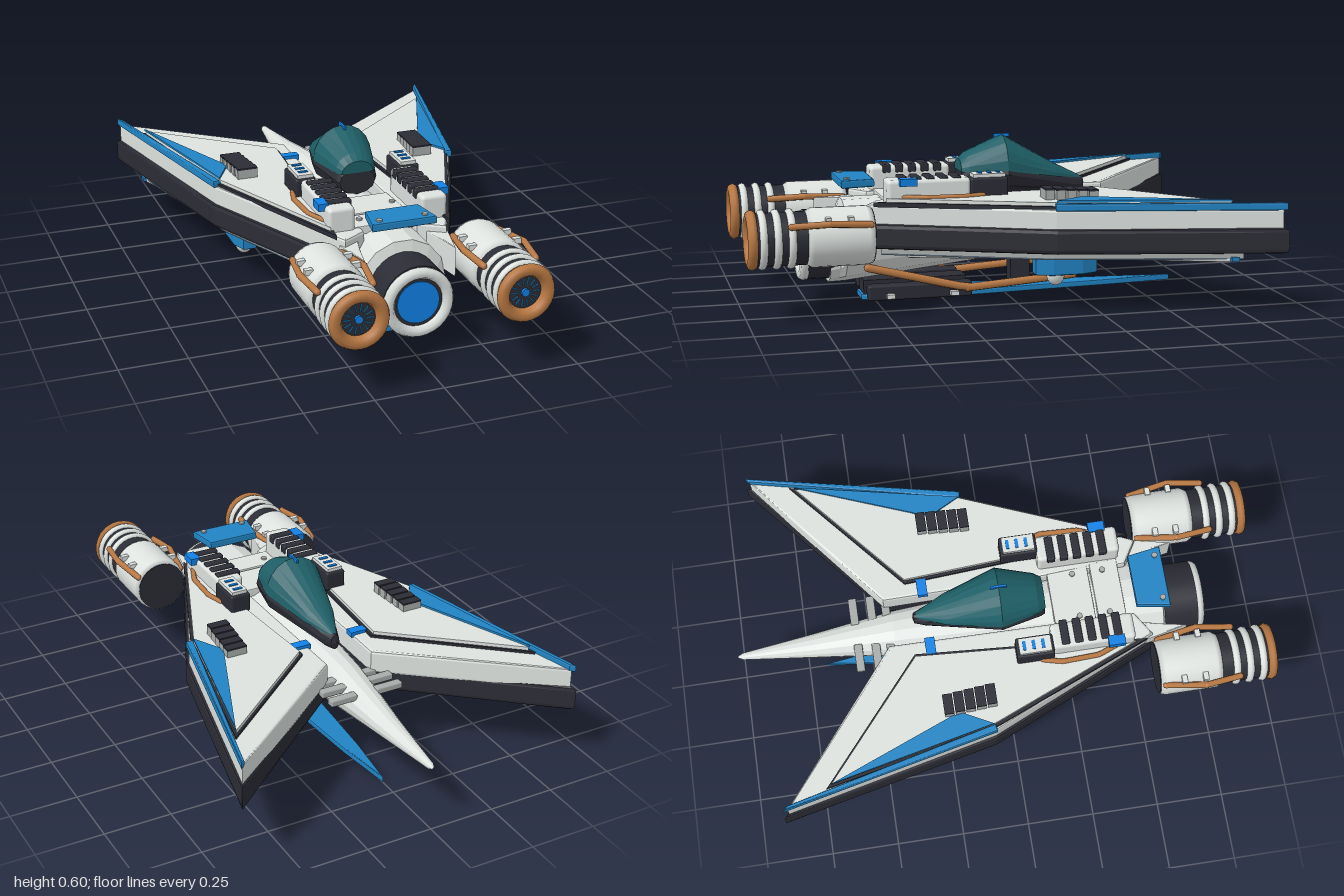
import * as THREE from 'three';
import { RoundedBoxGeometry } from 'three/addons/geometries/RoundedBoxGeometry.js';

const mat = (name, color) => Object.assign(new THREE.MeshStandardMaterial({ color }), { name });

export function createModel() {
  const root = new THREE.Group();
  root.name = 'starfighter';
  const white = mat('hull white', 0xdde2df), dark = mat('dark metal', 0x2c2c36);
  const blue = mat('paint blue', 0x2184c4), glow = mat('glow blue', 0x1082e8);
  const teal = mat('canopy teal', 0x1f6068), copper = mat('copper', 0xb87843);
  const slate = mat('slate', 0x566474), grey = mat('light grey', 0xa8adab);

  const add = (name, geo, m) => {
    const mesh = new THREE.Mesh(geo, m);
    mesh.name = name;
    root.add(mesh);
  };
  // box given by its extents
  const box = (name, m, x0, x1, y0, y1, z0, z1, r = 0) => {
    const w = Math.abs(x1 - x0), h = y1 - y0, d = z1 - z0;
    const g = r ? new RoundedBoxGeometry(w, h, d, 2, r) : new THREE.BoxGeometry(w, h, d);
    add(name, g.translate((x0 + x1) / 2, (y0 + y1) / 2, (z0 + z1) / 2), m);
  };
  // horizontal plate from an outline of [x, z] points
  const plate = (name, m, pts, y0, y1, s = 1, bevel = 0) => {
    const shape = new THREE.Shape(pts.map(([x, z]) => new THREE.Vector2(x * s, z)));
    const g = new THREE.ExtrudeGeometry(shape, {
      depth: y1 - y0 - 2 * bevel, bevelEnabled: bevel > 0, bevelSize: bevel,
      bevelThickness: bevel, bevelOffset: -bevel, bevelSegments: 2 });
    add(name, g.rotateX(Math.PI / 2).translate(0, y1 - bevel, 0), m);
  };
  // turned part along z from [radius, z] points
  const turned = (name, m, pts, x, y) => add(name,
    new THREE.LatheGeometry(pts.map(p => new THREE.Vector2(...p)), 28).rotateX(Math.PI / 2).translate(x, y, 0), m);
  const drum = (name, m, r, z0, z1, x, y) =>
    add(name, new THREE.CylinderGeometry(r, r, z1 - z0, 28).rotateX(Math.PI / 2).translate(x, y, (z0 + z1) / 2), m);
  const rivet = (x, y, z) => add('rivet', new THREE.CylinderGeometry(0.011, 0.011, 0.008, 10).translate(x, y, z), grey);
  // straight-segment pipe with rounded joints
  const pipe = (name, m, pts, r, s = 1) => {
    const path = new THREE.CurvePath(), v = pts.map(([x, y, z]) => new THREE.Vector3(x * s, y, z));
    for (let i = 1; i < v.length; i++) path.add(new THREE.LineCurve3(v[i - 1], v[i]));
    add(name, new THREE.TubeGeometry(path, 16, r, 8), m);
    for (const p of v) add(name + 'Joint', new THREE.SphereGeometry(r, 8, 6).translate(p.x, p.y, p.z), m);
  };
  // faceted loft along z from [z, half width, y bottom, y top] sections, full ellipse or upper half
  const loft = (name, m, secs, n, half = false) => {
    const pos = [], idx = [];
    for (const [z, w, b, t] of secs) for (let i = 0; i <= n; i++) {
      const a = (half ? 1 : 2) * Math.PI * i / n;
      const base = half ? b : (b + t) / 2;
      pos.push(w * Math.cos(a), base + (t - base) * Math.sin(a), z);
    }
    for (let k = 0; k < secs.length - 1; k++) for (let i = 0; i < n; i++) {
      const p = k * (n + 1) + i, q = p + n + 1;
      idx.push(p, p + 1, q, p + 1, q + 1, q);
    }
    const g = new THREE.BufferGeometry();
    g.setAttribute('position', new THREE.Float32BufferAttribute(pos, 3));
    g.setIndex(idx);
    const flat = g.toNonIndexed();
    flat.computeVertexNormals();
    add(name, flat, m);
  };

  // fuselage with a long needle nose
  loft('fuselage', white, [[-1, 0.003, 0.247, 0.253], [-0.98, 0.013, 0.237, 0.263], [-0.7, 0.047, 0.21, 0.295],
    [-0.4, 0.085, 0.18, 0.345], [0.1, 0.125, 0.128, 0.38], [0.5, 0.158, 0.085, 0.387], [0.615, 0.162, 0.073, 0.385],
    [0.635, 0.125, 0.072, 0.31], [0.67, 0.115, 0.07, 0.29], [0.67, 0.001, 0.18, 0.182]], 14);

  // main engine
  drum('mainEngineDrum', dark, 0.13, 0.62, 0.755, 0, 0.215);
  turned('mainEngineRim', white, [[0.095, 0.75], [0.128, 0.75], [0.13, 0.765], [0.122, 0.78], [0.1, 0.782], [0.09, 0.765], [0.09, 0.75]], 0, 0.212);
  drum('mainEngineThroat', dark, 0.092, 0.7, 0.76, 0, 0.212);
  drum('mainEngineGlow', glow, 0.078, 0.755, 0.764, 0, 0.212);

  // cockpit tub and faceted canopy
  loft('cockpitTub', dark, [[-0.325, 0.001, 0.4, 0.402], [-0.32, 0.018, 0.37, 0.428], [-0.28, 0.035, 0.365, 0.44], [0, 0.12, 0.375, 0.55],
    [0.15, 0.08, 0.38, 0.505], [0.165, 0.07, 0.385, 0.485], [0.165, 0.001, 0.43, 0.432]], 12);
  loft('canopy', teal, [[-0.31, 0.012, 0.425, 0.432], [-0.2, 0.062, 0.44, 0.487], [0, 0.115, 0.475, 0.6],
    [0.14, 0.078, 0.47, 0.54], [0.167, 0.062, 0.47, 0.515], [0.167, 0.001, 0.47, 0.471]], 10, true);
  box('canopyRidge', glow, -0.004, 0.004, 0.59, 0.603, -0.03, 0.03);

  // spine deck and rear blue cover
  for (const [z0, z1, w] of [[0.2, 0.355, 0.1], [0.365, 0.47, 0.115]]) {
    plate('deckPanel', white, [[-w, z0], [w, z0], [w + 0.01, z1], [-w - 0.01, z1]], 0.36, 0.392, 1, 0.004);
    for (const s of [-1, 1]) rivet(s * 0.085, 0.395, z1 - 0.06);
  }
  plate('rearCover', blue, [[-0.1, 0.505], [0.1, 0.505], [0.12, 0.63], [-0.12, 0.63]], 0.435, 0.465, 1, 0.006);

  // keel blade, its carrier and strut
  plate('keelBlade', blue, [[0, -0.68], [0.03, -0.45], [0.07, 0.1], [0.07, 0.5], [0.05, 0.55], [-0.05, 0.55], [-0.07, 0.5], [-0.07, 0.1], [-0.03, -0.45]], 0.002, 0.024, 1, 0.005);
  box('keelCarrier', dark, -0.045, 0.045, 0.02, 0.075, 0.15, 0.54);
  box('keelStrut', dark, -0.03, 0.03, 0.02, 0.18, -0.105, -0.03);

  const outline = [[0.664, -0.89], [0.1, -0.42], [0.1, 0.5], [0.2, 0.565], [0.487, -0.08]];
  const upper = [[0.652, -0.87], [0.09, -0.425], [0.1, 0.5], [0.19, 0.555], [0.474, -0.08]];
  const underPanel = [[0.605, -0.74], [0.15, -0.39], [0.15, 0.45], [0.195, 0.5], [0.445, -0.08]];
  for (const s of [-1, 1]) {
    const b = (n, m, x0, x1, ...r) => box(n, m, s * x0, s * x1, ...r);

    // wing: dark lower body, white upper shell, framed top panel
    plate('wingLower', dark, outline, 0.225, 0.318, s, 0.016);
    plate('wingUpper', white, upper, 0.3, 0.388, s, 0.01);
    plate('wingPanelFrame', dark, [[0.6, -0.72], [0.142, -0.335], [0.172, 0.1], [0.212, 0.53], [0.465, -0.08]], 0.38, 0.397, s);
    plate('wingPanel', white, [[0.586, -0.698], [0.154, -0.334], [0.183, 0.1], [0.219, 0.485], [0.453, -0.08]], 0.385, 0.41, s);
    plate('wingTriangle', blue, [[0.59, -0.7], [0.405, -0.235], [0.4, -0.19], [0.456, -0.085]], 0.41, 0.418, s);
    plate('wingEdgeStrip', blue, [[0.66, -0.882], [0.643, -0.868], [0.455, -0.08], [0.482, -0.075]], 0.382, 0.41, s, 0.006);
    plate('wingUnderEdge', grey, underPanel, 0.206, 0.23, s);
    plate('wingUnderPanel', slate, underPanel, 0.2, 0.206, s);

    // stepped wing vents with dark tops
    for (let i = 0; i < 5; i++) {
      const z = -0.258 + i * 0.04, x0 = 0.326 - i * 0.003, x1 = 0.403 - i * 0.003, top = 0.436 + i * 0.002;
      b('wingVentStep', grey, x0, x1, 0.4, top, z, z + 0.034);
      b('wingVentTop', dark, x0, x1, top, top + 0.006, z - 0.001, z + 0.035);
    }

    // nose fins
    for (const [z, x1] of [[-0.542, 0.145], [-0.475, 0.145], [-0.42, 0.11]])
      b('noseFin', grey, 0.04, x1, 0.29, 0.315, z - 0.016, z + 0.016, 0.005);
    b('noseMarker', glow, 0.085, 0.15, 0.38, 0.4, -0.292, -0.255);

    // spine pods with cooling slats
    b('spinePod', white, 0.125, 0.225, 0.36, 0.475, 0.17, 0.48, 0.015);
    for (let i = 0; i < 5; i++) b('spineSlat', dark, 0.12, 0.215, 0.45, 0.483, 0.205 + i * 0.049, 0.235 + i * 0.049, 0.005);
    b('sensorBox', dark, 0.163, 0.242, 0.4, 0.475, 0.035, 0.175, 0.008);
    b('sensorLid', white, 0.172, 0.233, 0.47, 0.488, 0.045, 0.165);
    for (const z of [0.065, 0.1, 0.135]) b('sensorLight', glow, 0.185, 0.22, 0.486, 0.492, z - 0.006, z + 0.006);
    b('podLamp', glow, 0.208, 0.247, 0.455, 0.482, 0.375, 0.437);
    pipe('spinePipe', copper, [[0.24, 0.412, 0.13], [0.258, 0.412, 0.2], [0.252, 0.412, 0.34], [0.22, 0.412, 0.42]], 0.01, s);
    rivet(s * 0.085, 0.467, 0.605);

    // side engine
    const cx = 0.299, x = s * cx, y = 0.297;
    turned('engineCowl', white, [[0, 0.555], [0.1, 0.555], [0.106, 0.575], [0.106, 0.77], [0.09, 0.797], [0, 0.797]], x, y);
    drum('engineFrontPlate', dark, 0.097, 0.552, 0.565, x, y);
    drum('engineCore', dark, 0.095, 0.79, 0.97, x, y);
    for (const z of [0.845, 0.895, 0.945])
      add('engineRing', new THREE.TorusGeometry(0.093, 0.014, 10, 32).translate(x, y, z), white);
    turned('engineNozzle', copper, [[0.06, 0.96], [0.1, 0.966], [0.107, 0.98], [0.1, 0.995], [0.085, 1], [0.068, 0.994], [0.06, 0.975], [0.06, 0.96]], x, y);
    drum('fanDisc', dark, 0.063, 0.955, 0.972, x, y);
    drum('fanHub', glow, 0.014, 0.97, 0.982, x, y);
    for (let i = 0; i < 14; i++) {
      const g = new THREE.BoxGeometry(0.026, 0.004, 0.006).translate(0.041, 0, 0).rotateZ(i * Math.PI / 7);
      add('fanSpoke', g.translate(x, y, 0.974), blue);
    }
    for (const k of [-1, 1]) {
      pipe('enginePipe', copper, [[cx + k * 0.09, 0.35, 0.57], [cx + k * 0.115, 0.362, 0.72], [cx + k * 0.098, 0.355, 0.85]], 0.012, s);
      for (const z of [0.64, 0.72]) b('engineClip', white, cx + k * 0.07, cx + k * 0.1, 0.36, 0.38, z - 0.01, z + 0.01);
    }
    // tapered fairing behind the wing root
    plate('rootFairing', white, [[0.12, 0.48], [0.205, 0.53], [0.19, 0.6], [0.168, 0.69], [0.15, 0.6]], 0.25, 0.36, s, 0.005);

    // belly skids and pipes
    b('skid', dark, 0.1, 0.152, 0.018, 0.075, 0.15, 0.54, 0.008);
    for (const z of [0.22, 0.46]) b('skidLink', white, 0.04, 0.175, 0.028, 0.044, z - 0.015, z + 0.015);
    pipe('bellyPipe', copper, [[0.14, 0.142, 0.54], [0.163, 0.053, 0.17], [0.155, 0.08, -0.24]], 0.015, s);

    // underwing pod with dome and struts
    plate('wingPod', blue, [[0.335, -0.26], [0.385, -0.26], [0.407, -0.2], [0.407, -0.09], [0.385, -0.03], [0.335, -0.03], [0.31, -0.09], [0.31, -0.2]], 0.133, 0.205, s, 0.006);
    const dome = new THREE.SphereGeometry(0.034, 16, 12).scale(1, 1.25, 1);
    add('podDome', dome.translate(s * 0.36, 0.132, -0.11), white);
    pipe('podStrut', white, [[0.38, 0.195, -0.2], [0.585, 0.199, -0.69]], 0.01, s);
    pipe('podStrut', white, [[0.35, 0.195, -0.06], [0.22, 0.199, 0.4]], 0.01, s);
    pipe('podStrut', white, [[0.34, 0.195, -0.2], [0.18, 0.199, -0.36]], 0.01, s);
    b('strutCap', blue, 0.585, 0.607, 0.194, 0.21, -0.725, -0.695);
  }
  return root;
}
